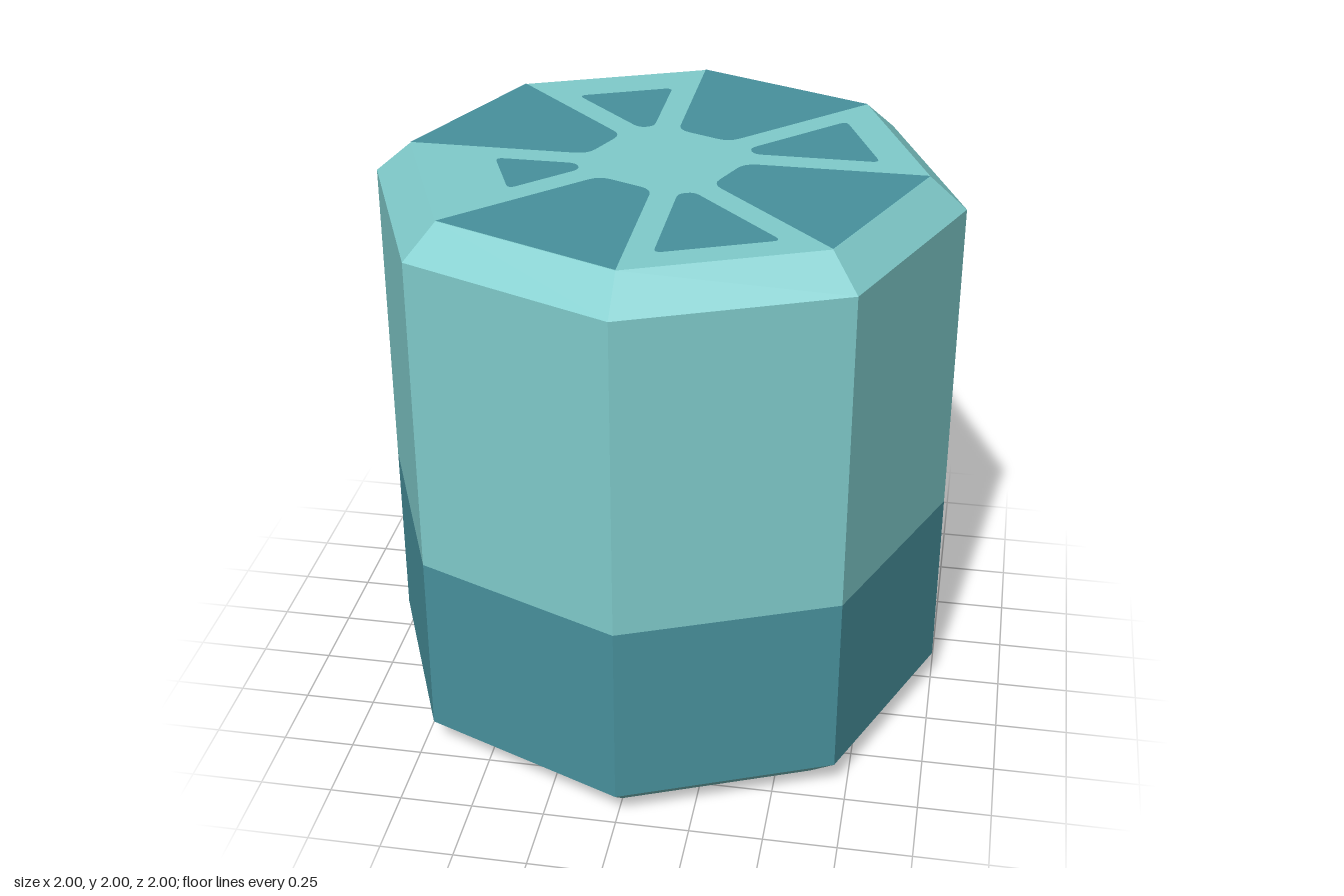
import * as THREE from 'three';

const SIDES = 8, HALF = Math.PI / SIDES;
const CAP_R = 0.875, LIFT = 0.002, H = 2;

const light = new THREE.MeshStandardMaterial({ name: 'pale teal', color: 0x80cccc, flatShading: true });
const dark = new THREE.MeshStandardMaterial({ name: 'deep teal', color: 0x48919d, flatShading: true });

// Eight-sided ring or cap turned from a profile of [radius, height], bottom to top
function turned(name, profile, material) {
  const points = profile.map(([r, y]) => new THREE.Vector2(r, y));
  const mesh = new THREE.Mesh(new THREE.LatheGeometry(points, SIDES).toNonIndexed(), material);
  mesh.name = name;
  return mesh;
}

// Polygon outline with rounded corners; each corner is [x, y, rounding]
function roundedShape(corners) {
  const shape = new THREE.Shape();
  const n = corners.length;
  corners.forEach(([x, y, r], i) => {
    const p = new THREE.Vector2(x, y);
    const toward = ([qx, qy]) => {
      const d = new THREE.Vector2(qx, qy).sub(p);
      return p.clone().addScaledVector(d, Math.min(r / d.length(), 0.45));
    };
    const a = toward(corners[(i + n - 1) % n]);
    const b = toward(corners[(i + 1) % n]);
    if (i === 0) shape.moveTo(a.x, a.y);
    else shape.lineTo(a.x, a.y);
    if (r > 0) shape.quadraticCurveTo(x, y, b.x, b.y);
  });
  shape.closePath();
  return shape;
}

// Tapered patch within one eighth of the cap, running from inner to outer distance
function patch(name, degrees, inner, outer, margin, innerRound, outerRound) {
  const width = (s) => s * Math.tan(HALF) - margin / Math.cos(HALF);
  const wi = width(inner), wo = width(outer);
  const geometry = new THREE.ShapeGeometry(roundedShape([
    [-wi, -inner, innerRound], [-wo, -outer, outerRound],
    [wo, -outer, outerRound], [wi, -inner, innerRound],
  ]), 4);
  geometry.rotateX(-Math.PI / 2);
  geometry.rotateY(THREE.MathUtils.degToRad(degrees));
  const mesh = new THREE.Mesh(geometry, dark);
  mesh.name = name;
  return mesh;
}

// Four full wedges alternating with four small triangles of given reach
function capPattern(name, reaches) {
  const group = new THREE.Group();
  group.name = name;
  reaches.forEach((reach, i) => {
    const a = 22.5 + i * 90;
    group.add(patch('smallTriangle', a, 0.295, reach, 0.088, 0.03, 0.03));
    group.add(patch('largeWedge', a + 45, 0.243, CAP_R * Math.cos(HALF), 0, 0.045, 0));
  });
  return group;
}

export function createModel() {
  const model = new THREE.Group();
  model.name = 'octagonalBarrel';

  // Body
  model.add(
    turned('bottomCap', [[0, LIFT], [CAP_R, LIFT], [1, 0.11]], light),
    turned('lowerBand', [[1, 0.11], [1, 0.77]], dark),
    turned('upperBand', [[1, 0.77], [1, 1.89]], light),
    turned('topCap', [[1, 1.89], [CAP_R, H - LIFT], [0, H - LIFT]], light),
  );

  // Painted patterns on both ends
  const top = capPattern('topPattern', [0.715, 0.685, 0.645, 0.55]);
  top.position.y = H;
  const bottom = capPattern('bottomPattern', [0.67, 0.67, 0.67, 0.67]);
  bottom.rotation.x = Math.PI;
  model.add(top, bottom);

  return model;
}
